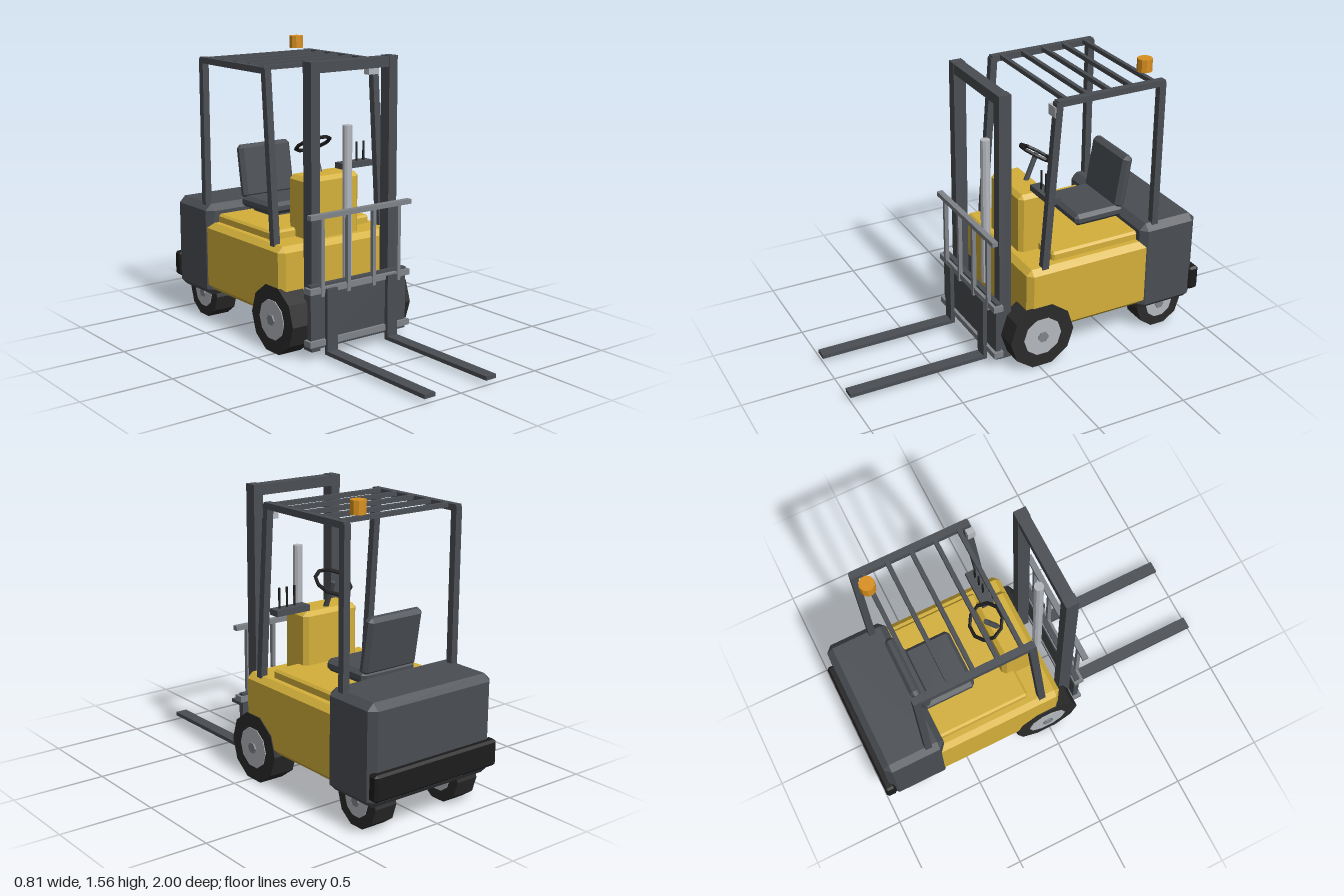
import * as THREE from 'three';
import { ConvexGeometry } from 'three/addons/geometries/ConvexGeometry.js';

const paint = (name, color) => {
  const m = new THREE.MeshStandardMaterial({ color, flatShading: true });
  m.name = name;
  return m;
};

export function createModel() {
  const yellow = paint('yellow paint', 0xd4b03a);
  const dark = paint('dark steel', 0x4a4e53);
  const grey = paint('grey steel', 0x808489);
  const silver = paint('silver', 0xb4b8bd);
  const rubber = paint('rubber', 0x2b2b2b);
  const black = paint('black', 0x1c1c1c);
  const amber = paint('amber', 0xd9901e);

  const model = new THREE.Group();
  model.name = 'forklift';

  const add = (name, geometry, material, x = 0, y = 0, z = 0, parent = model) => {
    const mesh = new THREE.Mesh(geometry, material);
    mesh.name = name;
    mesh.position.set(x, y, z);
    parent.add(mesh);
    return mesh;
  };

  // Box given by its [min, max] range on each axis
  const box = (name, material, [x0, x1], [y0, y1], [z0, z1]) =>
    add(name, new THREE.BoxGeometry(x1 - x0, y1 - y0, z1 - z0), material,
      (x0 + x1) / 2, (y0 + y1) / 2, (z0 + z1) / 2);

  // Box with all edges chamfered by b
  const chamferGeometry = (w, h, d, b) => {
    const points = [];
    for (const sx of [-1, 1]) for (const sy of [-1, 1]) for (const sz of [-1, 1]) {
      const x = w / 2, y = h / 2, z = d / 2;
      points.push(
        new THREE.Vector3(sx * x, sy * (y - b), sz * (z - b)),
        new THREE.Vector3(sx * (x - b), sy * y, sz * (z - b)),
        new THREE.Vector3(sx * (x - b), sy * (y - b), sz * z));
    }
    return new ConvexGeometry(points);
  };
  const chamferBox = (name, material, halfX, [y0, y1], [z0, z1], b) =>
    add(name, chamferGeometry(halfX * 2, y1 - y0, z1 - z0, b), material,
      0, (y0 + y1) / 2, (z0 + z1) / 2);

  // Straight bar between two points
  const aim = (mesh, a, b) => {
    mesh.position.copy(a).add(b).multiplyScalar(0.5);
    mesh.quaternion.setFromUnitVectors(new THREE.Vector3(0, 1, 0), b.clone().sub(a).normalize());
    return mesh;
  };

  // Chassis, hood, cowl, counterweight and bumper
  chamferBox('body', yellow, 0.385, [0.19, 0.575], [-0.68, 0.06], 0.03);
  chamferBox('hood', yellow, 0.325, [0.55, 0.62], [-0.65, -0.11], 0.012);
  chamferBox('cowl', yellow, 0.172, [0.54, 0.9], [-0.18, 0], 0.022);
  chamferBox('counterweight', dark, 0.39, [0.155, 0.675], [-0.965, -0.62], 0.035);
  chamferBox('rearBumper', black, 0.392, [0.205, 0.342], [-1, -0.94], 0.012);

  // Seat
  box('seatMount', dark, [-0.12, 0.12], [0.6, 0.65], [-0.58, -0.4]);
  chamferBox('seatCushion', dark, 0.17, [0.64, 0.705], [-0.64, -0.34], 0.02);
  const back = add('seatBack', chamferGeometry(0.34, 0.3, 0.06, 0.02), dark, 0, 0.835, -0.638);
  back.rotation.x = -0.16;

  // Steering column and wheel
  const columnFoot = new THREE.Vector3(0, 0.88, -0.12);
  const wheelCentre = new THREE.Vector3(0, 1.04, -0.187);
  aim(add('steeringColumn', new THREE.CylinderGeometry(0.014, 0.014, columnFoot.distanceTo(wheelCentre), 8), dark),
    columnFoot, wheelCentre);
  const ring = add('steeringWheel', new THREE.TorusGeometry(0.095, 0.01, 6, 10), black);
  ring.position.copy(wheelCentre);
  ring.rotation.x = -Math.PI / 2 - 0.53;

  // Lever console
  box('leverConsole', dark, [0.12, 0.325], [0.9, 0.932], [-0.15, -0.085]);
  for (const x of [0.19, 0.237, 0.284]) {
    add('lever', new THREE.CylinderGeometry(0.006, 0.006, 0.11, 6), black, x, 0.982, -0.112);
  }

  // Overhead guard
  for (const x of [-0.348, 0.348]) {
    const foot = new THREE.Vector3(x, 0.555, -0.045), top = new THREE.Vector3(x, 1.47, -0.112);
    aim(add('frontPillar', new THREE.BoxGeometry(0.038, foot.distanceTo(top), 0.038), dark), foot, top);
    box('rearPillar', dark, [x - 0.019, x + 0.019], [0.64, 1.47], [-0.725, -0.688]);
    box('roofRail', dark, [x - 0.019, x + 0.019], [1.447, 1.48], [-0.72, -0.1]);
  }
  for (let i = 0; i < 5; i++) {
    const z = -0.155 - i * 0.126;
    box('roofBar', dark, [-0.34, 0.34], [1.46, 1.483], [z - 0.011, z + 0.011]);
  }
  add('beacon', new THREE.CylinderGeometry(0.04, 0.04, 0.068, 10), amber, 0.243, 1.53, -0.672);
  box('workLight', silver, [0.297, 0.366], [1.395, 1.45], [-0.125, -0.085]);

  // Mast with lift cylinder
  for (const s of [-1, 1]) {
    add('mastUpright', new THREE.BoxGeometry(0.055, 1.495, 0.068), dark, s * 0.25, 0.7775, 0.142);
  }
  box('mastTopBeam', dark, [-0.24, 0.24], [1.468, 1.522], [0.11, 0.173]);
  add('liftCylinder', new THREE.CylinderGeometry(0.026, 0.026, 0.83, 10), silver, 0, 0.765, 0.112);

  // Carriage
  box('carriagePlate', dark, [-0.313, 0.313], [0.06, 0.4], [0.185, 0.215]);
  for (const y of [0.093, 0.372]) {
    box('carriageBar', grey, [-0.328, 0.328], [y - 0.016, y + 0.016], [0.178, 0.232]);
  }

  // Load backrest
  box('backrestTopBar', grey, [-0.328, 0.328], [0.745, 0.77], [0.208, 0.24]);
  for (const x of [-0.25, -0.083, 0.083, 0.25]) {
    box('backrestBar', grey, [x - 0.01, x + 0.01], [0.34, 0.75], [0.215, 0.237]);
  }

  // Forks
  for (const x of [-0.198, 0.198]) {
    box('forkShank', dark, [x - 0.033, x + 0.033], [0.025, 0.378], [0.225, 0.248]);
    box('forkBlade', dark, [x - 0.033, x + 0.033], [0.025, 0.046], [0.235, 1]);
  }

  // Wheels: tyre, rim and hub, with the axle along x
  const disc = (r, w, sides) => new THREE.CylinderGeometry(r, r, w, sides).rotateZ(Math.PI / 2);
  const addWheel = (name, side, inner, outer, y, z, r, rimR, hubR) => {
    const wheel = new THREE.Group();
    wheel.name = name;
    wheel.position.set(side * (inner + outer) / 2, y, z);
    const w = outer - inner;
    add('tyre', disc(r, w, 10), rubber, 0, 0, 0, wheel);
    add('rim', disc(rimR, w + 0.008, 10), silver, 0, 0, 0, wheel);
    add('hub', disc(hubR, w + 0.026, 6), grey, 0, 0, 0, wheel);
    model.add(wheel);
  };
  for (const side of [-1, 1]) {
    addWheel('frontWheel', side, 0.25, 0.39, 0.18, -0.02, 0.187, 0.11, 0.031);
    addWheel('rearWheel', side, 0.2, 0.33, 0.133, -0.788, 0.139, 0.082, 0.026);
  }
  return model;
}
